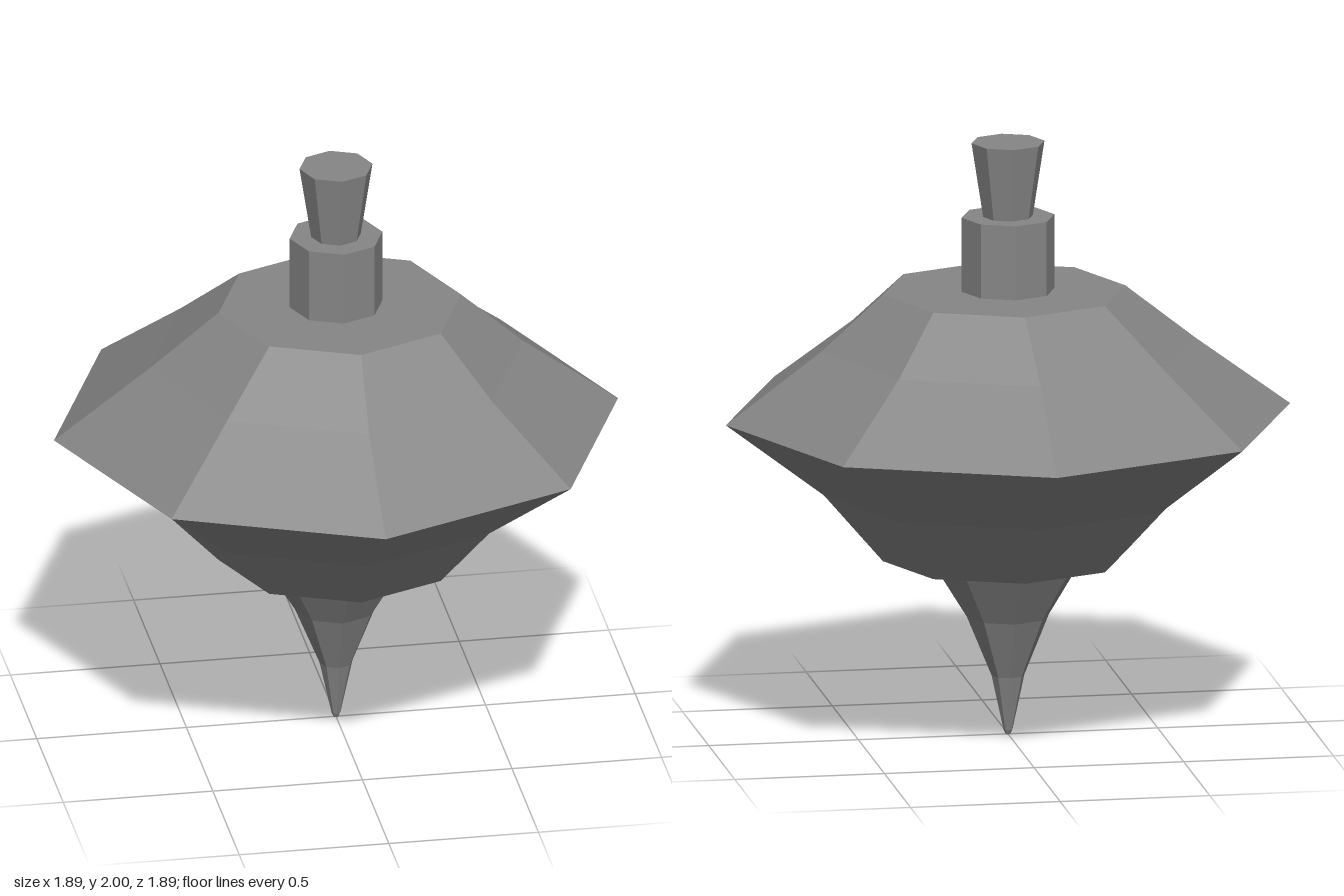
import * as THREE from 'three';

const SIDES = 8;
const material = new THREE.MeshStandardMaterial({ color: 0x868686, flatShading: true });

// Faceted turned part from [radius, height] pairs, listed bottom to top
function turned(name, profile) {
  const points = profile.map(([r, y]) => new THREE.Vector2(r, y));
  const mesh = new THREE.Mesh(new THREE.LatheGeometry(points, SIDES), material);
  mesh.name = name;
  return mesh;
}

export function createModel() {
  const top = new THREE.Group();
  top.name = 'spinningTop';

  // Wide body, closed flat above and below
  const body = turned('body', [
    [0, 0.6], [0.405, 0.6], [0.615, 0.83], [0.943, 1.08], [0.625, 1.315], [0.405, 1.5], [0, 1.5],
  ]);
  // The two end faces sit slightly off centre
  const pos = body.geometry.attributes.position;
  for (let i = 0; i < pos.count; i++) {
    const y = pos.getY(i);
    if (y < 0.61 || y > 1.49) pos.setX(i, pos.getX(i) + 0.013);
  }

  // Curved spike the top spins on, with a blunted tip
  const spike = turned('spike', [
    [0, 0], [0.008, 0], [0.015, 0.015], [0.055, 0.2], [0.137, 0.4], [0.26, 0.6], [0, 0.6],
  ]);

  // Collar and flared finger grip
  const collar = turned('collar', [[0, 1.5], [0.155, 1.5], [0.155, 1.75], [0, 1.75]]);
  const grip = turned('grip', [[0, 1.75], [0.083, 1.75], [0.122, 2], [0, 2]]);

  top.add(spike, body, collar, grip);
  return top;
}
